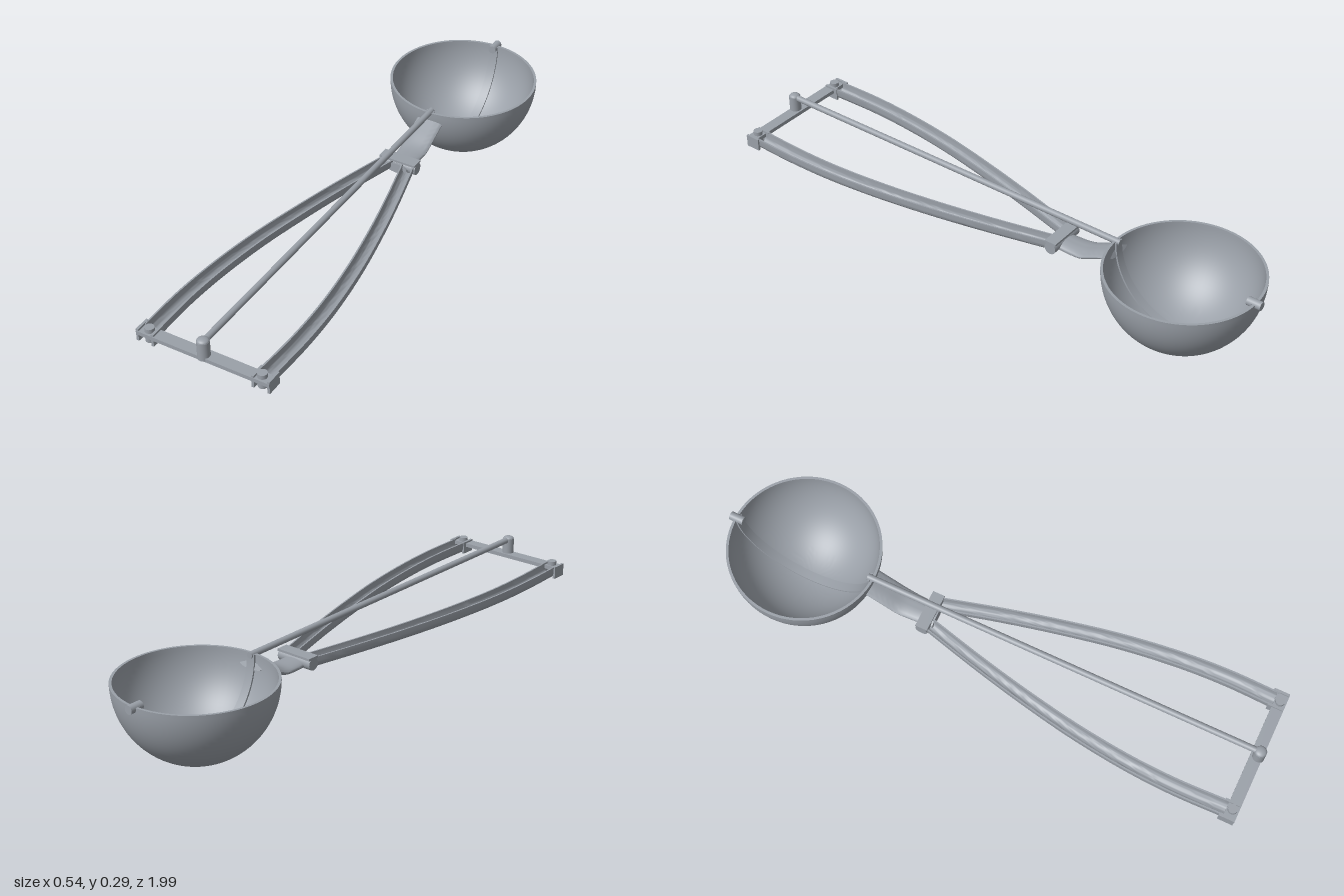
import * as THREE from 'three';
import { toCreasedNormals } from 'three/addons/utils/BufferGeometryUtils.js';

const V = (x, y, z) => new THREE.Vector3(x, y, z);
const steel = new THREE.MeshStandardMaterial({ color: 0x9aa0a8 });
steel.name = 'steel';

// Sweeps a closed profile of paired halves (n points out, n points back) along a path.
function sweep(path, profile, { scale = () => [1, 1], side = null } = {}) {
  const pos = [], index = [], n = profile.length, last = path.length - 1;
  path.forEach((p, i) => {
    const t = path[Math.min(i + 1, last)].clone().sub(path[Math.max(i - 1, 0)]).normalize();
    const s = side ? side.clone() : V(0, 1, 0).cross(t).normalize();
    const up = t.clone().cross(s);
    const [sx, sy] = scale(i / last);
    for (const [u, v] of profile) {
      const q = p.clone().addScaledVector(s, u * sx).addScaledVector(up, v * sy);
      pos.push(q.x, q.y, q.z);
    }
  });
  for (let i = 0; i < last; i++) {
    for (let j = 0; j < n; j++) {
      const a = i * n + j, b = i * n + (j + 1) % n;
      index.push(a, b, b + n, a, b + n, a + n);
    }
  }
  // End caps join each point to its partner on the returning half
  const e = last * n;
  for (let j = 0; j < n / 2 - 1; j++) {
    const k = n - 1 - j;
    index.push(j, k, k - 1, j, k - 1, j + 1);
    index.push(e + j, e + j + 1, e + k - 1, e + j, e + k - 1, e + k);
  }
  const g = new THREE.BufferGeometry();
  g.setAttribute('position', new THREE.Float32BufferAttribute(pos, 3));
  g.setIndex(index);
  return toCreasedNormals(g, 0.7);
}

// Open-topped U channel: rounded bottom of radius r, walls rising by h
function channelProfile(r, wall, h) {
  const half = (rad) => {
    const pts = [[-rad, h]];
    for (let i = 0; i <= 14; i++) {
      const a = Math.PI + (i / 14) * Math.PI;
      pts.push([Math.cos(a) * rad, Math.sin(a) * rad]);
    }
    pts.push([rad, h]);
    return pts;
  };
  return [...half(r), ...half(r - wall).reverse()];
}

function ovalProfile(rx, ry) {
  return Array.from({ length: 24 }, (_, i) => {
    const a = Math.PI + ((i + 0.5) / 24) * Math.PI * 2;
    return [Math.cos(a) * rx, Math.sin(a) * ry];
  });
}

export function createModel() {
  const model = new THREE.Group();
  const add = (name, geometry, x = 0, y = 0, z = 0) => {
    const m = new THREE.Mesh(geometry, steel);
    m.name = name;
    m.position.set(x, y, z);
    model.add(m);
    return m;
  };
  const box = (name, w, h, d, x, y, z) => add(name, new THREE.BoxGeometry(w, h, d), x, y, z);
  const rod = (name, r, len, axis, x, y, z) => {
    const g = new THREE.CylinderGeometry(r, r, len, 24);
    if (axis === 'x') g.rotateZ(Math.PI / 2);
    if (axis === 'z') g.rotateX(Math.PI / 2);
    return add(name, g, x, y, z);
  };

  // Hollow bowl
  const R = 0.268, rimY = 0.275, bowlZ = -0.715, arc = [];
  for (let i = 0; i <= 28; i++) {
    const a = (i / 28) * Math.PI / 2;
    arc.push([Math.sin(a), -Math.cos(a)]);
  }
  const wall = [
    ...arc.map(([x, y]) => new THREE.Vector2(x * R, y * rimY)),
    ...arc.map(([x, y]) => new THREE.Vector2(x * (R - 0.009), y * (rimY - 0.009))).reverse(),
  ];
  add('bowl', toCreasedNormals(new THREE.LatheGeometry(wall, 72), 0.7), 0, rimY, bowlZ);

  // Scraper band hugging the inside of the bowl
  const band = [];
  for (let i = 0; i <= 48; i++) {
    const a = (i / 48) * Math.PI;
    band.push(V(0, rimY - Math.sin(a) * 0.258, bowlZ + Math.cos(a) * 0.253));
  }
  add('scraper', sweep(band, [[-0.016, -0.003], [0.016, -0.003], [0.016, 0.003], [-0.016, 0.003]],
    { side: V(1, 0, 0) }));
  rod('scraperPin', 0.015, 0.05, 'z', 0, 0.27, -0.975);

  // Long push rod to the bowl
  rod('pushRod', 0.011, 1.45, 'z', 0, 0.272, 0.255);
  rod('pushRodPost', 0.021, 0.066, 'y', 0, 0.244, 0.972);
  const cap = new THREE.SphereGeometry(0.02, 24, 8, 0, Math.PI * 2, 0, Math.PI / 2);
  cap.scale(1, 0.5, 1);
  add('postCap', cap, 0, 0.277, 0.972);

  // Bent neck widening to the bowl
  const neckPath = new THREE.CatmullRomCurve3([
    V(0, 0.178, -0.21), V(0, 0.175, -0.28), V(0, 0.18, -0.34), V(0, 0.206, -0.4), V(0, 0.235, -0.463),
  ]).getPoints(24);
  add('neck', sweep(neckPath, ovalProfile(0.05, 0.013), {
    scale: (t) => [0.85 + 0.15 * Math.min(1, t * 2), 1.35 - 0.35 * t],
  }));

  // Pivot across the narrow ends of the handles
  rod('pivot', 0.022, 0.14, 'x', 0, 0.182, -0.238);
  box('pivotPlate', 0.14, 0.008, 0.044, 0, 0.203, -0.238);

  // Pair of bowed channel handles with their end fittings
  for (const s of [1, -1]) {
    const path = new THREE.CatmullRomCurve3([
      V(s * 0.036, 0.184, -0.24), V(s * 0.098, 0.189, 0), V(s * 0.143, 0.193, 0.2),
      V(s * 0.18, 0.198, 0.4), V(s * 0.204, 0.202, 0.6), V(s * 0.212, 0.206, 0.77),
      V(s * 0.208, 0.209, 0.95),
    ]).getPoints(48);
    add('handle', sweep(path, channelProfile(0.028, 0.006, 0.018), {
      scale: (t) => [0.82 + 0.18 * t, 0.9 + 0.1 * t],
    }));
    for (const x of [0.182, 0.238]) box('handleEndPlate', 0.009, 0.045, 0.055, s * x, 0.206, 0.958);
    rod('endBolt', 0.016, 0.052, 'y', s * 0.205, 0.211, 0.965);
  }

  // Flat bar joining the handle ends
  box('crossbar', 0.484, 0.014, 0.042, 0, 0.215, 0.966);

  return model;
}
